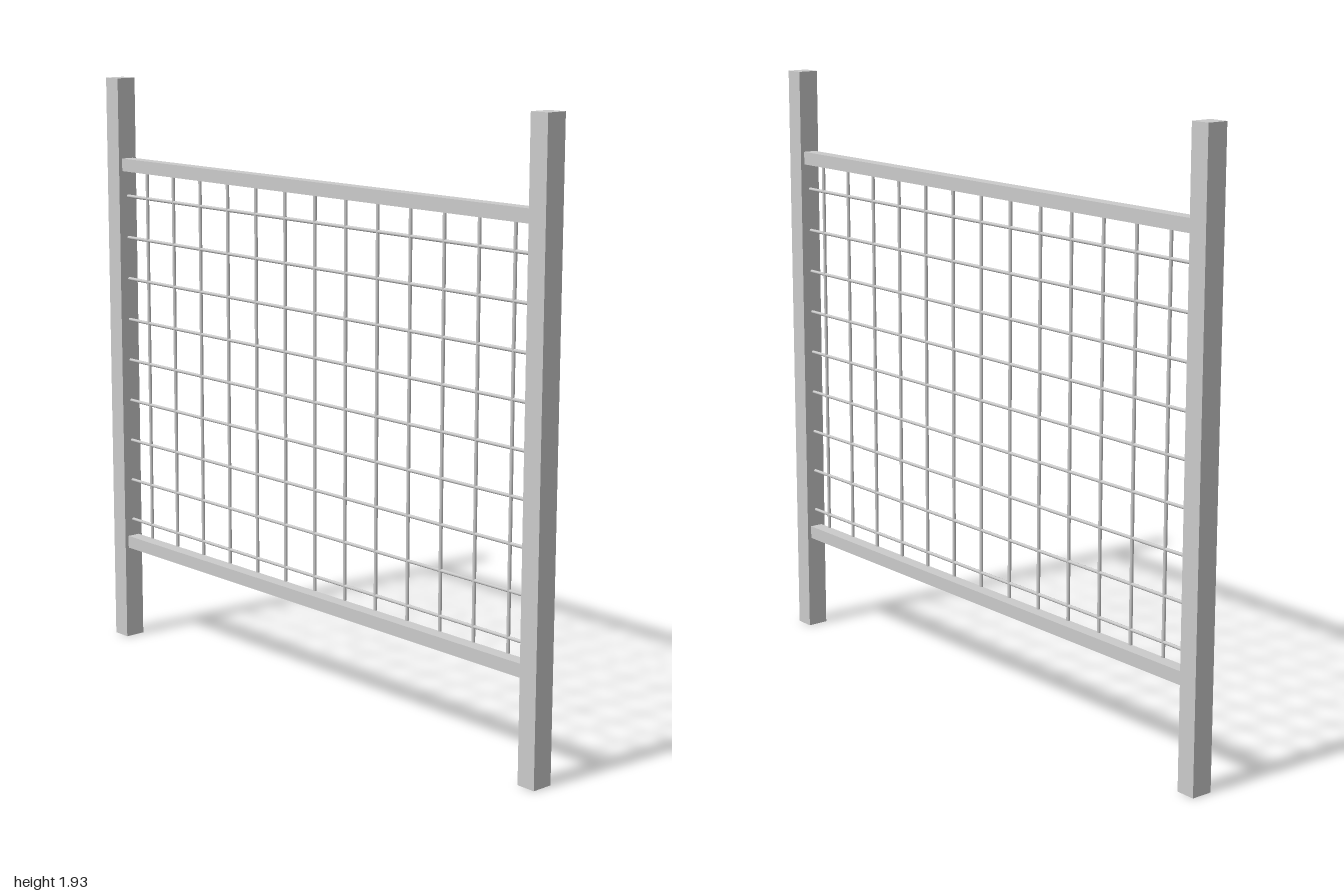
import * as THREE from 'three';

const material = new THREE.MeshStandardMaterial({ color: 0xcccccc });

export function createModel() {
  const model = new THREE.Group();
  model.name = 'meshFencePanel';

  const add = (name, geometry, x, y, z = 0) => {
    const mesh = new THREE.Mesh(geometry, material);
    mesh.name = name;
    mesh.position.set(x, y, z);
    model.add(mesh);
    return mesh;
  };

  // Square posts
  const post = new THREE.BoxGeometry(0.064, 1.93, 0.07);
  add('leftPost', post, 0.968, 0.965);
  add('rightPost', post, -0.968, 0.965);

  // Rails between the posts
  const rail = new THREE.BoxGeometry(1.872, 0.042, 0.044);
  add('topRail', rail, 0, 1.643);
  add('bottomRail', rail, 0, 0.339);

  // Wire mesh: uprights stop just above the bottom rail
  const radius = 0.0055;
  const pitch = 0.1403;
  const upright = new THREE.CylinderGeometry(radius, radius, 1.26, 8);
  for (let i = 0; i < 13; i++) {
    add('verticalWire', upright, -0.828 + i * pitch, 1.0);
  }

  // Wire mesh: cross wires from post to post
  const cross = new THREE.CylinderGeometry(radius, radius, 1.872, 8).rotateZ(Math.PI / 2);
  for (let i = 0; i < 9; i++) {
    add('horizontalWire', cross, 0, 0.417 + i * 0.14);
  }

  return model;
}
